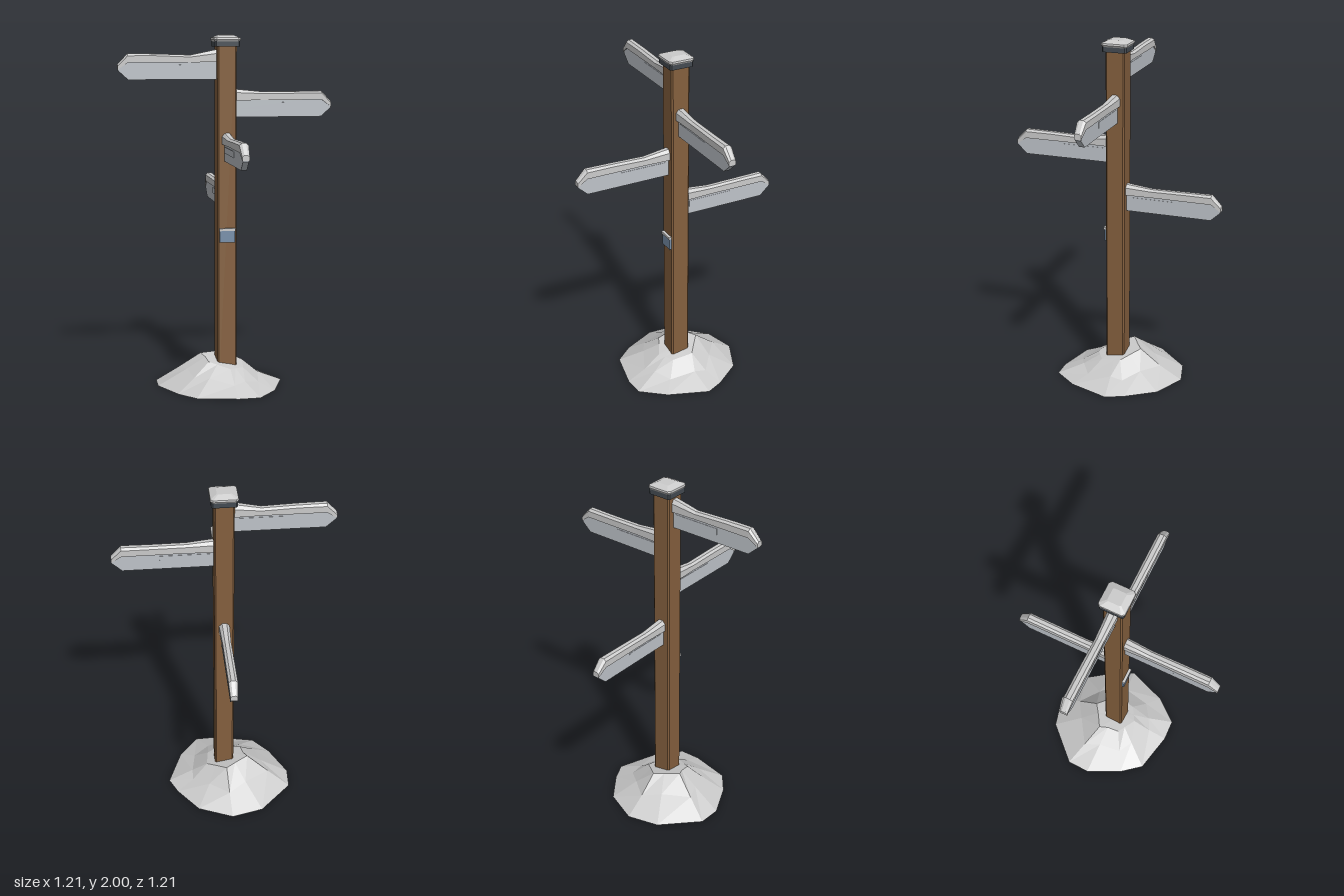
import * as THREE from 'three';

const mat = (color) => new THREE.MeshStandardMaterial({ color, flatShading: true });
const grey = mat(0xcccccc);
const boardGrey = mat(0xbfc4ca);
const wood = mat(0x85603e);
const iron = mat(0x444b52);
const blue = mat(0x7890aa);

function add(parent, name, geometry, material, x = 0, y = 0, z = 0) {
  const mesh = new THREE.Mesh(geometry, material);
  mesh.name = name;
  mesh.position.set(x, y, z);
  parent.add(mesh);
}

// Skins a list of equal-length closed rings; the ends are closed with fans.
function loft(rings) {
  const n = rings[0].length, pos = rings.flat(2), idx = [];
  for (let r = 0; r < rings.length - 1; r++) {
    for (let i = 0; i < n; i++) {
      const a = r * n + i, b = r * n + (i + 1) % n;
      idx.push(a, b, b + n, a, b + n, a + n);
    }
  }
  const last = (rings.length - 1) * n;
  for (let i = 1; i < n - 1; i++) {
    idx.push(0, i + 1, i, last, last + i, last + i + 1);
  }
  const g = new THREE.BufferGeometry();
  g.setAttribute('position', new THREE.Float32BufferAttribute(pos, 3));
  g.setIndex(idx);
  const flat = g.toNonIndexed();
  flat.computeVertexNormals();
  return flat;
}

// Square ring with cut corners at height y
function squareRing(half, cut, y) {
  const h = half, c = half - cut;
  return [[h, c], [h, -c], [c, -h], [-c, -h], [-h, -c], [-h, c], [-c, h], [c, h]]
    .map(([x, z]) => [x, y, z]);
}

// Arrow board pointing along +x with a layer of snow draped over its top
function sign(name, bottom, angle, rise, dip) {
  const group = new THREE.Group();
  group.name = name;
  group.position.y = bottom;
  group.rotation.y = angle;

  const outline = new THREE.Shape([
    [0.04, 0], [0.548, 0], [0.603, 0.05], [0.603, 0.07], [0.545, 0.125], [0.04, 0.125],
  ].map(([x, y]) => new THREE.Vector2(x, y)));
  const board = new THREE.ExtrudeGeometry(outline, { depth: 0.032, bevelEnabled: false });
  add(group, 'signBoard', board, boardGrey, 0, 0, -0.016);

  // Slim blank panel standing just proud of both faces
  add(group, 'signPanel', new THREE.BoxGeometry(0.27, 0.035, 0.036), boardGrey, 0.21, 0.064, 0);

  // Stations: x, lower edge, shoulder, crest, half width
  const stations = [
    [0.04, 0.095, 0.13 + rise * 0.6, 0.143 + rise, 0.03],
    [0.2, 0.095, 0.132 - dip, 0.143 - dip, 0.024],
    [0.4, 0.095, 0.132, 0.142, 0.025],
    [0.55, 0.095, 0.132, 0.144, 0.025],
    [0.606, 0.055, 0.075, 0.085, 0.02],
  ];
  add(group, 'signSnow', loft(stations.map(([x, lo, mid, top, w]) => [
    [x, lo, w], [x, lo, -w], [x, mid, -w], [x, top, -w * 0.45], [x, top, w * 0.45], [x, mid, w],
  ])), grey);
  return group;
}

// Irregular heap of snow, higher towards the back left of the heap
function mound() {
  const rim = [
    [0.335, -0.04], [0.29, -0.14], [0.175, -0.3], [-0.02, -0.385], [-0.2, -0.34], [-0.385, -0.15],
    [-0.39, -0.02], [-0.3, 0.17], [-0.21, 0.28], [0.02, 0.33], [0.14, 0.325], [0.25, 0.19],
  ];
  const ring = (scale, wobble, height) => rim.map(([x, z], i) => {
    const s = scale + (i % 2 ? wobble : -wobble);
    return [x * s, height(x * s, z * s, i), z * s];
  });
  return loft([
    rim.map(([x, z]) => [x, 0, z]),
    ring(0.62, 0.05, (x, z, i) => 0.068 - 0.09 * x - 0.05 * z + (i % 2 ? -0.008 : 0.008)),
    ring(0.33, 0.03, (x, z) => 0.14 - 0.19 * x - 0.18 * z),
    ring(0.16, 0, (x, z) => 0.142 - 0.2 * x - 0.15 * z),
  ]);
}

export function createModel() {
  const model = new THREE.Group();
  model.name = 'signpost';

  add(model, 'snowMound', mound(), grey);
  add(model, 'post', loft([squareRing(0.055, 0.008, 0.02), squareRing(0.055, 0.008, 1.95)]), wood);

  // Cap: dark collar and bevelled snow-covered top
  add(model, 'capCollar', loft([squareRing(0.07, 0.008, 1.936), squareRing(0.07, 0.008, 1.966)]), iron);
  add(model, 'capTop', loft([
    squareRing(0.07, 0.01, 1.964), squareRing(0.076, 0.014, 1.974),
    squareRing(0.074, 0.014, 1.984), squareRing(0.038, 0.006, 2),
  ]), grey);

  // Four arms, one per direction, stepping down the post
  model.add(
    sign('rightSign', 1.754, Math.PI, 0.025, 0.008),
    sign('leftSign', 1.541, 0, 0.016, 0),
    sign('frontSign', 1.298, -Math.PI / 2, 0.016, 0.006),
    sign('backSign', 1.024, Math.PI / 2, 0.014, 0.003),
  );

  // Small plate on the front of the post with its own ledge of snow
  add(model, 'plate', new THREE.BoxGeometry(0.088, 0.072, 0.012), blue, 0, 0.874, 0.06);
  add(model, 'plateSnow', new THREE.BoxGeometry(0.092, 0.014, 0.018), grey, 0, 0.911, 0.062);

  return model;
}
